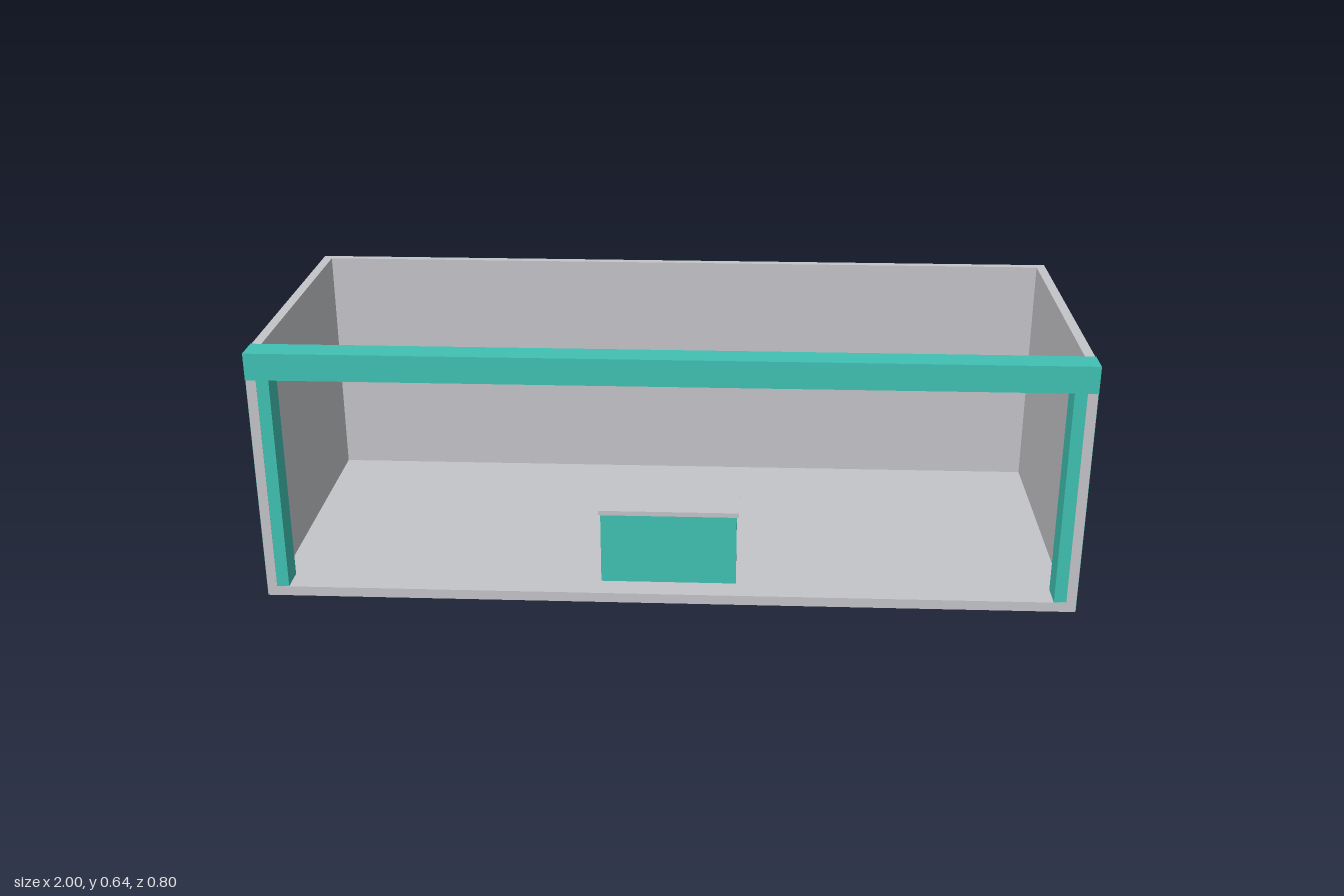
import * as THREE from 'three';

export function createModel() {
  const grey = new THREE.MeshStandardMaterial({ color: 0xc4c5c9 });
  grey.name = 'light grey';
  const teal = new THREE.MeshStandardMaterial({ color: 0x40c1b3 });
  teal.name = 'teal';

  const model = new THREE.Group();
  model.name = 'openBooth';

  // Box given by its minimum and maximum corners
  const box = (name, material, min, max, parent = model) => {
    const size = max.map((v, i) => v - min[i]);
    const mesh = new THREE.Mesh(new THREE.BoxGeometry(...size), material);
    mesh.position.set(...max.map((v, i) => (v + min[i]) / 2));
    mesh.name = name;
    parent.add(mesh);
  };

  // Shell: floor, back wall and side walls, open at the front and top
  box('floor', grey, [-0.975, 0, -0.378], [0.975, 0.025, 0.4]);
  box('backWall', grey, [-0.975, 0, -0.4], [0.975, 0.64, -0.378]);
  for (const [side, s] of [['left', 1], ['right', -1]]) {
    const span = (a, b) => (s > 0 ? [a, b] : [-b, -a]);
    const [w0, w1] = span(0.975, 0.999);
    box(side + 'Wall', grey, [w0, 0, -0.4], [w1, 0.64, 0.4]);

    // Front post wraps the wall end, its outer face just proud of the wall
    const [p0, p1] = span(0.945, 1);
    box(side + 'Post', teal, [p0, 0.001, 0.333], [p1, 0.58, 0.399]);
  }

  // Header beam across the open front
  box('headerBeam', teal, [-1, 0.575, 0.333], [1, 0.642, 0.402]);

  // Counter with a thin overhanging top
  const counter = new THREE.Group();
  counter.name = 'counter';
  model.add(counter);
  box('counterBody', teal, [-0.17, 0.02, 0.207], [0.167, 0.21, 0.336], counter);
  box('counterTop', grey, [-0.175, 0.21, 0.2], [0.172, 0.222, 0.342], counter);

  return model;
}
